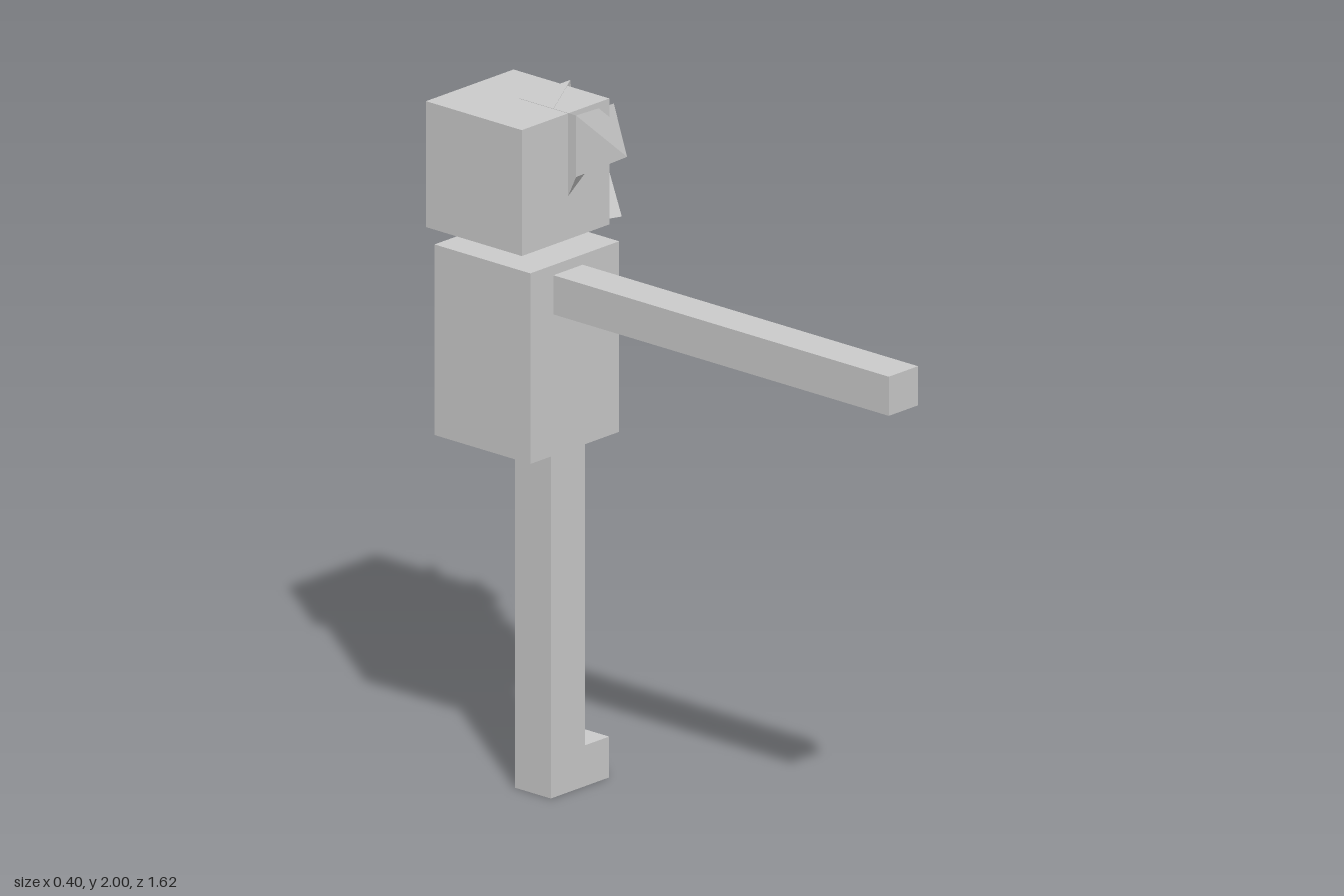
import * as THREE from 'three';

const grey = new THREE.MeshStandardMaterial({ color: 0xcccccc, flatShading: true });
const thinGrey = new THREE.MeshStandardMaterial({ color: 0xcccccc, flatShading: true, side: THREE.DoubleSide });

// Box given by its lowest and highest corner
function box(name, [x0, y0, z0], [x1, y1, z1]) {
  const mesh = new THREE.Mesh(new THREE.BoxGeometry(x1 - x0, y1 - y0, z1 - z0), grey);
  mesh.position.set((x0 + x1) / 2, (y0 + y1) / 2, (z0 + z1) / 2);
  mesh.name = name;
  return mesh;
}

// Upright L: leg with a foot turned to the model's left
function legWithFoot() {
  const shape = new THREE.Shape([
    [-0.07, 0], [0.17, 0], [0.17, 0.12], [0.07, 0.12], [0.07, 1.01], [-0.07, 1.01],
  ].map(([x, y]) => new THREE.Vector2(x, y)));
  const geometry = new THREE.ExtrudeGeometry(shape, { depth: 0.135, bevelEnabled: false });
  const mesh = new THREE.Mesh(geometry.translate(0, 0, -0.595), grey);
  mesh.name = 'legAndFoot';
  return mesh;
}

// Jagged block joining two [z, y] profiles, one at each end in x
function jaggedBlock() {
  const left = [[-0.47, 1.97], [-0.62, 1.86], [-0.633, 2.001], [-0.633, 1.645], [-0.44, 1.645], [-0.5, 1.8], [-0.42, 1.825]];
  const right = [[-0.42, 2.001], [-0.505, 2.001], [-0.633, 2.001], [-0.633, 1.645], [-0.52, 1.645], [-0.5, 1.65], [-0.42, 1.82]];
  const n = left.length;
  const verts = [];
  for (const [x, profile] of [[-0.01, right], [0.2, left]]) {
    for (const [z, y] of profile) verts.push(x, y, z);
  }
  const index = [];
  for (let i = 0; i < n; i++) {
    const j = (i + 1) % n;
    // The front faces fold along the other diagonal
    if (i >= n - 2) index.push(i, i + n, j, j, i + n, j + n);
    else index.push(i, i + n, j + n, i, j + n, j);
  }
  // End caps
  [right, left].forEach((profile, side) => {
    const contour = profile.map(([z, y]) => new THREE.Vector2(z, y));
    for (const [a, b, c] of THREE.ShapeUtils.triangulateShape(contour, [])) {
      const o = side * n;
      const p = contour[a], q = contour[b], r = contour[c];
      const ccw = (q.x - p.x) * (r.y - p.y) - (q.y - p.y) * (r.x - p.x) > 0;
      if (ccw === (side === 0)) index.push(a + o, b + o, c + o);
      else index.push(a + o, c + o, b + o);
    }
  });
  const indexed = new THREE.BufferGeometry();
  indexed.setAttribute('position', new THREE.Float32BufferAttribute(verts, 3));
  indexed.setIndex(index);
  const geometry = indexed.toNonIndexed();
  geometry.computeVertexNormals();
  const mesh = new THREE.Mesh(geometry, thinGrey);
  mesh.name = 'jaggedFacePiece';
  return mesh;
}

export function createModel() {
  const group = new THREE.Group();
  group.name = 'blockFigure';
  group.add(
    box('head', [-0.2, 1.63, -0.81], [0.16, 2, -0.45]),
    box('neck', [-0.07, 1.57, -0.695], [0.05, 1.63, -0.57]),
    box('torso', [-0.165, 1.01, -0.81], [0.2, 1.57, -0.45]),
    box('arm', [-0.07, 1.425, -0.45], [0.05, 1.54, 0.81]),
    legWithFoot(),
    jaggedBlock(),
  );
  return group;
}
